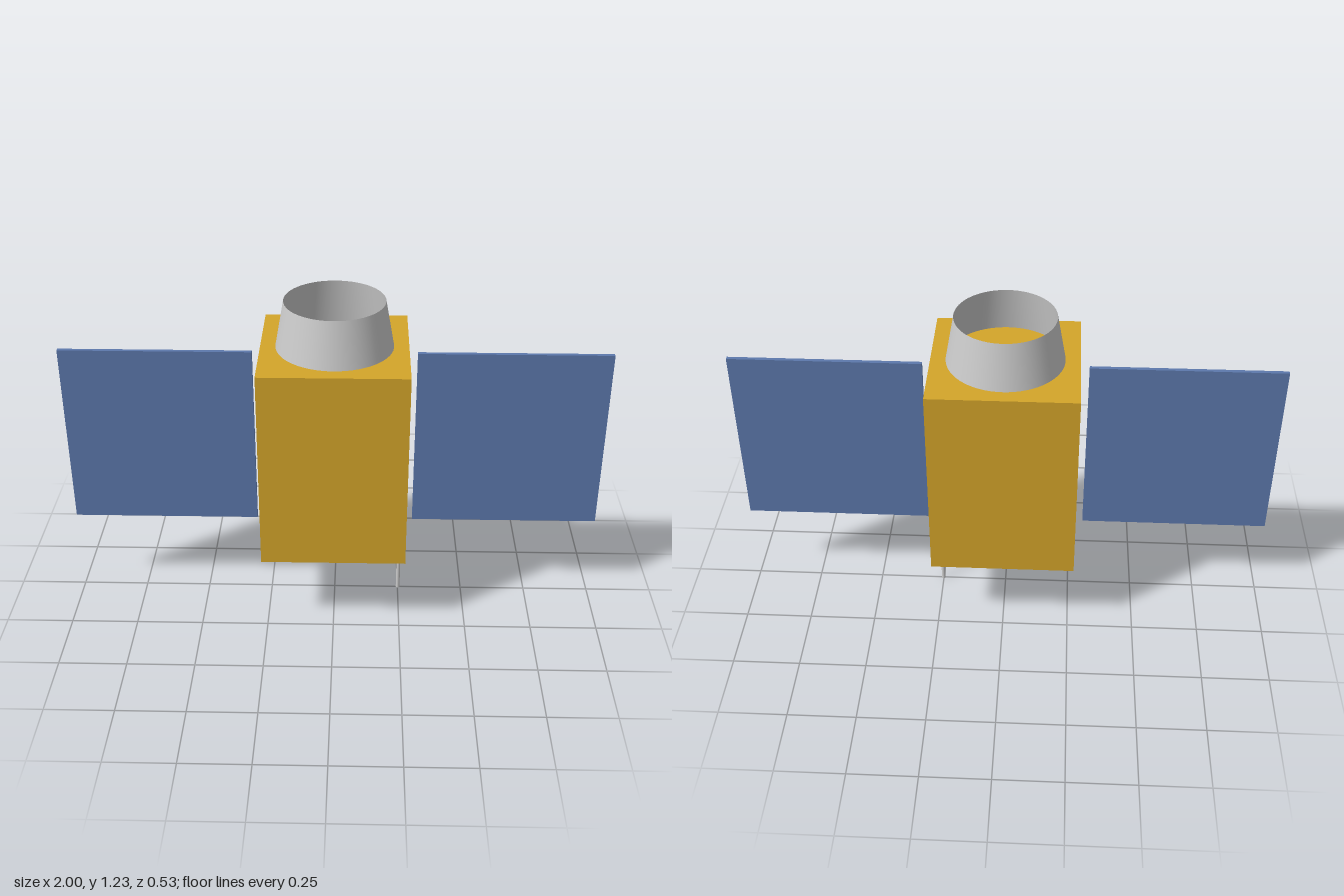
import * as THREE from 'three';

const gold = new THREE.MeshStandardMaterial({ color: 0xd4a52a });
const blue = new THREE.MeshStandardMaterial({ color: 0x5c78ac });
const grey = new THREE.MeshStandardMaterial({ color: 0xcccccc });
const greyThin = new THREE.MeshStandardMaterial({ color: 0xcccccc, side: THREE.DoubleSide });

export function createModel() {
  const model = new THREE.Group();
  model.name = 'satellite';

  const add = (name, geometry, material, x, y, z = 0) => {
    const mesh = new THREE.Mesh(geometry, material);
    mesh.name = name;
    mesh.position.set(x, y, z);
    model.add(mesh);
  };

  // Main body
  const bottom = 0.298, top = 1.057;
  add('body', new THREE.BoxGeometry(0.532, top - bottom, 0.532), gold, 0, (top + bottom) / 2);

  // Solar panels, standing clear of the body on both sides
  for (const [name, side] of [['leftSolarPanel', 1], ['rightSolarPanel', -1]]) {
    add(name, new THREE.BoxGeometry(0.702, 0.702, 0.015), blue, side * 0.649, 0.678);
  }

  // Open, thin-walled nozzle on top
  const nozzleHeight = 0.173;
  add('nozzle', new THREE.CylinderGeometry(0.181, 0.212, nozzleHeight, 64, 1, true),
    greyThin, 0, top + nozzleHeight / 2);

  // Antenna rod under the left edge of the body
  add('antenna', new THREE.CylinderGeometry(0.0075, 0.0075, bottom, 16), grey, 0.251, bottom / 2);

  return model;
}
